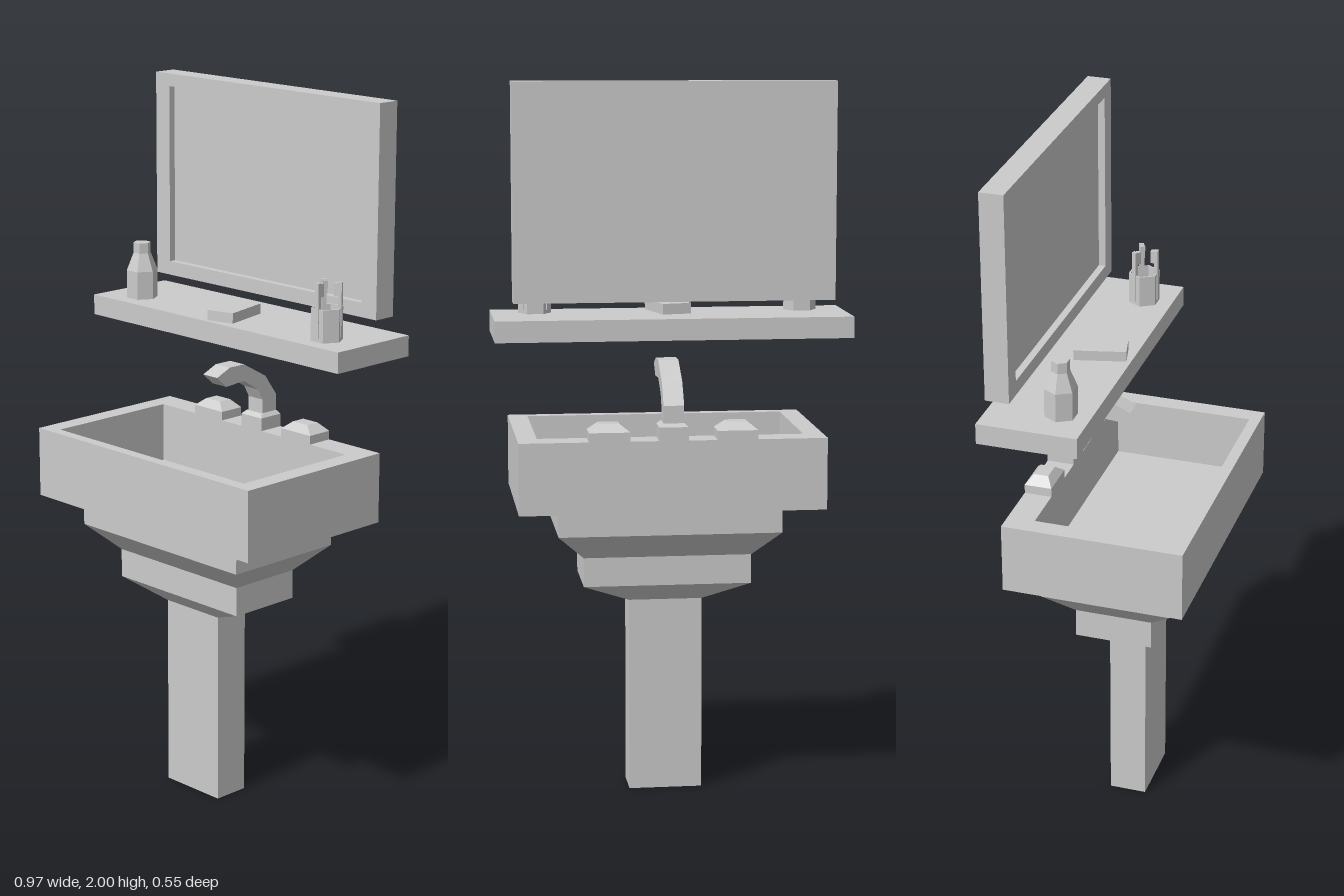
import * as THREE from 'three';

const material = new THREE.MeshStandardMaterial({
  color: 0xcccccc, flatShading: true, side: THREE.DoubleSide,
});

function add(parent, name, geometry, x = 0, y = 0, z = 0) {
  const mesh = new THREE.Mesh(geometry, material);
  mesh.name = name;
  mesh.position.set(x, y, z);
  parent.add(mesh);
  return mesh;
}

// Box given by its lower and upper limits on each axis
function addBox(parent, name, [x0, x1], [y0, y1], [z0, z1]) {
  return add(parent, name, new THREE.BoxGeometry(x1 - x0, y1 - y0, z1 - z0),
    (x0 + x1) / 2, (y0 + y1) / 2, (z0 + z1) / 2);
}

// Skin over rectangular rings [y, half width, back z, front z], capped at both ends
function rectLoft(rings) {
  const pos = [];
  const index = [];
  for (const [y, w, z0, z1] of rings) {
    pos.push(-w, y, z1, w, y, z1, w, y, z0, -w, y, z0);
  }
  for (let r = 0; r < rings.length - 1; r++) {
    for (let i = 0; i < 4; i++) {
      const a = r * 4 + i;
      const b = r * 4 + (i + 1) % 4;
      index.push(a, b, b + 4, a, b + 4, a + 4);
    }
  }
  const t = (rings.length - 1) * 4;
  index.push(0, 2, 1, 0, 3, 2, t, t + 1, t + 2, t, t + 2, t + 3);
  const geometry = new THREE.BufferGeometry();
  geometry.setAttribute('position', new THREE.Float32BufferAttribute(pos, 3));
  geometry.setIndex(index);
  const flat = geometry.toNonIndexed();
  flat.computeVertexNormals();
  return flat;
}

// Six-sided turned shape with corners pointing along x
function hexLathe(profile) {
  const points = profile.map(([r, y]) => new THREE.Vector2(r, y));
  return new THREE.LatheGeometry(points, 6, Math.PI / 2).toNonIndexed();
}

function rectPath(path, x0, y0, x1, y1) {
  path.moveTo(x0, y0);
  path.lineTo(x1, y0);
  path.lineTo(x1, y1);
  path.lineTo(x0, y1);
  path.closePath();
  return path;
}

function createSink() {
  const sink = new THREE.Group();
  sink.name = 'sink';

  // Column flaring in two steps up to the basin
  add(sink, 'pedestal', rectLoft([
    [0, 0.103, -0.033, 0.073],
    [0.55, 0.103, -0.033, 0.073],
    [0.603, 0.235, -0.09, 0.13],
    [0.685, 0.235, -0.09, 0.13],
    [0.76, 0.31, -0.165, 0.205],
    [0.836, 0.31, -0.165, 0.205],
  ]));

  // Outside, rim, inside and floor in one skin
  add(sink, 'basin', rectLoft([
    [0.836, 0.422, -0.235, 0.272],
    [1.035, 0.422, -0.235, 0.272],
    [1.035, 0.367, -0.158, 0.24],
    [0.865, 0.367, -0.158, 0.24],
  ]));

  // Tap handles on both sides of the spout
  for (const side of [-1, 1]) {
    add(sink, side > 0 ? 'leftTapHandle' : 'rightTapHandle', rectLoft([
      [1.035, 0.056, -0.235, -0.158],
      [1.06, 0.056, -0.235, -0.158],
      [1.082, 0.028, -0.217, -0.176],
    ]), side * 0.175);
  }

  add(sink, 'spoutBase', rectLoft([
    [1.035, 0.04, -0.235, -0.158],
    [1.072, 0.04, -0.235, -0.158],
    [1.082, 0.03, -0.229, -0.168],
  ]));

  // Spout side outline as [z, y], pulled across the width
  const outline = [
    [-0.228, 1.078], [-0.228, 1.13], [-0.185, 1.19], [-0.1, 1.238], [-0.045, 1.238],
    [0.004, 1.217], [-0.032, 1.185], [-0.1, 1.19], [-0.157, 1.155], [-0.175, 1.122],
    [-0.175, 1.078],
  ].map(([z, y]) => new THREE.Vector2(-z, y));
  const spout = new THREE.ExtrudeGeometry(new THREE.Shape(outline), { depth: 0.056, bevelEnabled: false });
  spout.translate(0, 0, -0.028).rotateY(Math.PI / 2);
  add(sink, 'spout', spout);
  return sink;
}

function createMirror() {
  const mirror = new THREE.Group();
  mirror.name = 'mirror';
  const shape = rectPath(new THREE.Shape(), -0.433, 1.416, 0.433, 2);
  shape.holes.push(rectPath(new THREE.Path(), -0.378, 1.456, 0.378, 1.964));
  add(mirror, 'mirrorFrame', new THREE.ExtrudeGeometry(shape, { depth: 0.067, bevelEnabled: false }), 0, 0, -0.265);
  addBox(mirror, 'mirrorPanel', [-0.378, 0.378], [1.456, 1.964], [-0.265, -0.218]);
  return mirror;
}

function createShelf() {
  const shelf = new THREE.Group();
  shelf.name = 'shelf';
  addBox(shelf, 'shelfBoard', [-0.484, 0.484], [1.313, 1.371], [-0.274, 0.004]);

  const soap = addBox(shelf, 'soapBar', [-0.041, 0.041], [1.371, 1.4], [-0.161, -0.016]);
  soap.rotation.y = 0.236;

  add(shelf, 'bottle', hexLathe([
    [0, 0], [0.045, 0], [0.045, 0.08], [0.025, 0.13], [0.025, 0.16], [0, 0.16],
  ]), -0.367, 1.371, -0.078);

  // Open cup holding three brushes
  const cup = new THREE.Group();
  cup.name = 'brushCup';
  cup.position.set(0.365, 1.371, -0.078);
  add(cup, 'cup', hexLathe([
    [0, 0], [0.045, 0], [0.045, 0.09], [0.04, 0.09], [0.04, 0.01], [0, 0.01],
  ]));
  for (let i = 0; i < 3; i++) {
    const brush = new THREE.Group();
    brush.name = 'brush';
    addBox(brush, 'brushHandle', [-0.007, 0.007], [0.01, 0.16], [0.031, 0.041]);
    addBox(brush, 'brushBristles', [-0.007, 0.007], [0.122, 0.158], [0.02, 0.031]);
    brush.rotation.y = i * Math.PI * 2 / 3;
    cup.add(brush);
  }
  shelf.add(cup);
  return shelf;
}

export function createModel() {
  const model = new THREE.Group();
  model.name = 'washstand';
  model.add(createSink(), createShelf(), createMirror());
  return model;
}
